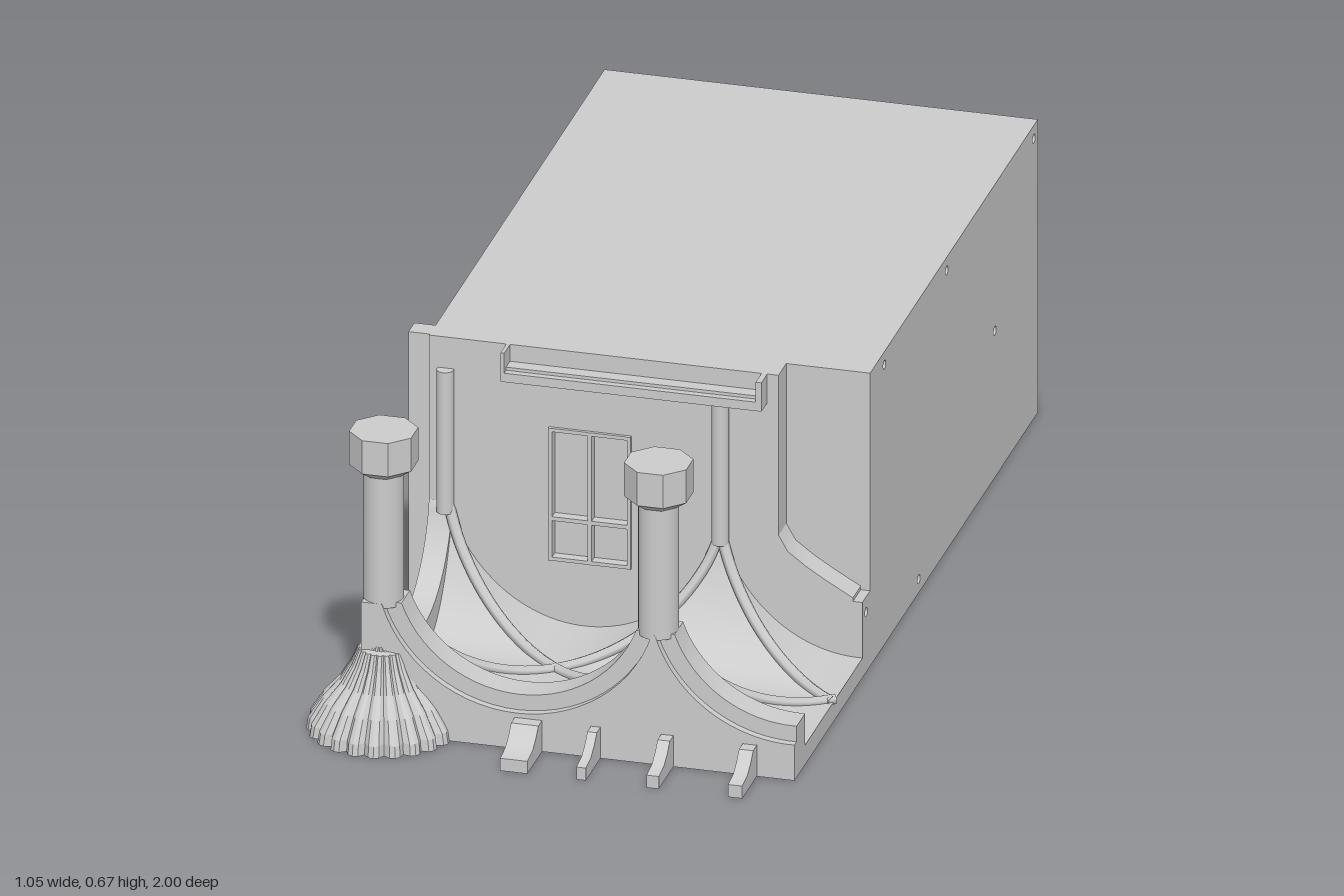
import * as THREE from 'three';
import { toCreasedNormals } from 'three/addons/utils/BufferGeometryUtils.js';

const stone = new THREE.MeshStandardMaterial({ color: 0xcccccc });
stone.name = 'pale stone';

export function createModel() {
  const model = new THREE.Group();
  const add = (name, geo, x = 0, y = 0, z = 0) => {
    const mesh = new THREE.Mesh(geo, stone);
    mesh.name = name;
    mesh.position.set(x, y, z);
    model.add(mesh);
    return mesh;
  };
  // Box given by its limits
  const box = (name, x0, x1, y0, y1, z0, z1) =>
    add(name, new THREE.BoxGeometry(x1 - x0, y1 - y0, z1 - z0), (x0 + x1) / 2, (y0 + y1) / 2, (z0 + z1) / 2);
  const toShape = (pts) => new THREE.Shape(pts.map(([a, b]) => new THREE.Vector2(a, b)));
  const extrude = (shape, depth) =>
    toCreasedNormals(new THREE.ExtrudeGeometry(shape, { depth, bevelEnabled: false, curveSegments: 12 }), 0.5);
  // Outline in x,y pushed from z0 to z1
  const alongZ = (name, shape, z0, z1) => add(name, extrude(shape, z1 - z0), 0, 0, z0);
  // Outline in -z,y pushed from x0 to x1
  const alongX = (name, shape, x0, x1) => add(name, extrude(shape, x1 - x0).rotateY(Math.PI / 2), x0, 0, 0);
  // Hanging arc of points between two abscissae
  const arc = (cx, cy, r, from, to, n = 28) => {
    const a0 = Math.asin((from - cx) / r), a1 = Math.asin((to - cx) / r);
    return Array.from({ length: n + 1 }, (_, i) => {
      const a = a0 + (a1 - a0) * i / n;
      return [cx + r * Math.sin(a), cy - r * Math.cos(a)];
    });
  };

  // Main block, with a drilled right side plate
  box('mainBlock', -0.4, 0.5, 0, 0.66, -1, 0.29);
  const side = toShape([[-0.35, 0], [1, 0], [1, 0.66], [-0.29, 0.66], [-0.29, 0.17], [-0.35, 0.17]]);
  for (const [z, y] of [[0.18, 0.63], [-0.3, 0.63], [-0.97, 0.63], [-0.67, 0.33], [-0.085, 0.03], [0.32, 0.135]]) {
    side.holes.push(new THREE.Path().absarc(-z, y, 0.01, 0, Math.PI * 2, true));
  }
  alongX('sidePlate', side, 0.5, 0.52);

  // Front wall with window opening and an arched notch on the right
  const wall = toShape([[-0.4, 0], [0.5, 0], [0.5, 0.178], [0.44, 0.212], [0.4, 0.237], [0.362, 0.265], [0.342, 0.3],
    [0.342, 0.66], [-0.4, 0.66]]);
  wall.holes.push(new THREE.Path([[-0.145, 0.187], [-0.145, 0.485], [0.03, 0.485], [0.03, 0.187]]
    .map(([x, y]) => new THREE.Vector2(x, y))));
  alongZ('frontWall', wall, 0.29, 0.35);
  box('leftPilaster', -0.445, -0.4, 0, 0.66, 0.3, 0.345);

  // Window
  box('windowPanes', -0.145, 0.03, 0.187, 0.485, 0.29, 0.335);
  for (const [x0, x1] of [[-0.145, -0.137], [-0.061, -0.053], [0.022, 0.03]]) {
    box('windowUpright', x0, x1, 0.187, 0.485, 0.33, 0.358);
  }
  for (const [y0, y1] of [[0.187, 0.195], [0.277, 0.286], [0.477, 0.485]]) {
    box('windowCrossbar', -0.145, 0.03, y0, y1, 0.33, 0.357);
  }

  // Cornice ledge with end blocks
  box('corniceLedge', -0.236, 0.318, 0.595, 0.615, 0.35, 0.395);
  box('corniceFillet', -0.236, 0.318, 0.615, 0.622, 0.35, 0.38);
  box('corniceEnd', 0.306, 0.318, 0.615, 0.66, 0.35, 0.395);
  box('corniceEnd', -0.236, -0.228, 0.615, 0.66, 0.35, 0.395);

  // Base slab under the vaults
  box('baseSlab', -0.4, 0.52, 0, 0.044, 0.35, 0.86);

  // Hollow groined bays
  const cz = 0.57, hx = 0.29, hz = 0.22;
  const f = (t) => 0.045 + 0.245 * (1 - Math.sqrt(1 - 0.9 * t * t)) / (1 - Math.sqrt(0.1));
  const bays = [[-0.07, 1], [0.51, 0.035]];
  for (const [cx, uMax] of bays) {
    const geo = new THREE.PlaneGeometry(2, 2, 48, 48).rotateX(-Math.PI / 2);
    const p = geo.attributes.position;
    for (let i = 0; i < p.count; i++) {
      const u = Math.min(p.getX(i), uMax), v = p.getZ(i);
      p.setXYZ(i, cx + u * hx, Math.min(f(u), f(v)), cz + v * hz);
    }
    add('vaultBay', toCreasedNormals(geo, 0.5));
    // Diagonal ribs
    for (const s of [-1, 1]) {
      const pts = [];
      for (let i = 0; i <= 24; i++) {
        const u = -1 + (Math.min(uMax, 1) + 1) * i / 24;
        pts.push(new THREE.Vector3(cx + u * hx, f(u) + 0.002, cz + s * u * hz));
      }
      add('diagonalRib', new THREE.TubeGeometry(new THREE.CatmullRomCurve3(pts), 40, 0.012, 6));
    }
  }

  // Left rim, a hanging arch running front to back
  alongX('leftRim', toShape([[-0.79, 0], [-0.35, 0], [-0.35, 0.29],
    ...arc(-cz, 0.334, 0.224, -cz + 0.2195, -cz - 0.2195), [-0.79, 0.29]]), -0.4, -0.35);

  // Front arcade in two stepped layers
  for (const [name, r, z0, z1] of [['arcadeWall', 0.265, 0.79, 0.855], ['arcadeFace', 0.3, 0.855, 0.872]]) {
    const h = Math.sqrt(r * r - 0.09 * 0.09);
    alongZ(name, toShape([[-0.4, 0], [0.52, 0], ...arc(0.51, 0.38, r, 0.52, 0.51 - h),
      ...arc(-0.07, 0.38, r, -0.07 + h, -0.07 - h), [-0.4, 0.29]]), z0, z1);
  }

  // Columns with octagonal capitals, and slim shafts on the wall behind
  const k = 1 / Math.cos(Math.PI / 8);
  for (const x of [-0.364, 0.22]) {
    add('columnShaft', new THREE.CylinderGeometry(0.042, 0.042, 0.3, 32), x, 0.43, 0.83);
    const cap = (name, rTop, rBottom, y0, y1) => add(name,
      new THREE.CylinderGeometry(rTop * k, rBottom * k, y1 - y0, 8).rotateY(Math.PI / 8).toNonIndexed(),
      x, (y0 + y1) / 2, 0.83).geometry.computeVertexNormals();
    cap('capitalFlare', 0.066, 0.042, 0.572, 0.59);
    cap('capital', 0.066, 0.066, 0.59, 0.665);
    add('wallShaft', new THREE.CylinderGeometry(0.018, 0.018, 0.32, 16), x, 0.43, 0.356);
  }

  // Brackets along the front foot
  const bracket = toShape([[-0.985, 0], [-0.865, 0], [-0.865, 0.07], [-0.9, 0.07], [-0.92, 0.05], [-0.945, 0.034], [-0.985, 0.028]]);
  for (const [x, w] of [[-0.045, 0.058], [0.098, 0.02], [0.25, 0.026], [0.425, 0.03]]) {
    alongX('frontBracket', bracket, x - w / 2, x + w / 2);
  }

  // Fluted half bell at the left corner
  const profile = [[0, 0], [0.157, 0], [0.153, 0.025], [0.125, 0.07], [0.09, 0.11], [0.066, 0.15], [0.052, 0.183],
    [0.034, 0.185], [0.03, 0.193], [0, 0.193]];
  const bell = new THREE.LatheGeometry(profile.map(([r, y]) => new THREE.Vector2(r, y)), 44, -Math.PI / 2, Math.PI);
  const bp = bell.attributes.position;
  for (let i = 0; i < bp.count; i++) {
    const step = Math.floor(i / profile.length) % 4;
    const s = [1, 0.98, 0.9, 0.98][step];
    bp.setXYZ(i, bp.getX(i) * s, bp.getY(i), bp.getZ(i) * s);
  }
  const flat = bell.toNonIndexed();
  flat.computeVertexNormals();
  add('flutedBell', flat, -0.362, 0, 0.843);
  const back = toShape([...profile.slice(1, -1), ...profile.slice(1, -1).reverse().map(([r, y]) => [-r, y])]);
  add('bellBack', new THREE.ShapeGeometry(back).rotateY(Math.PI), -0.362, 0, 0.843);

  return model;
}
